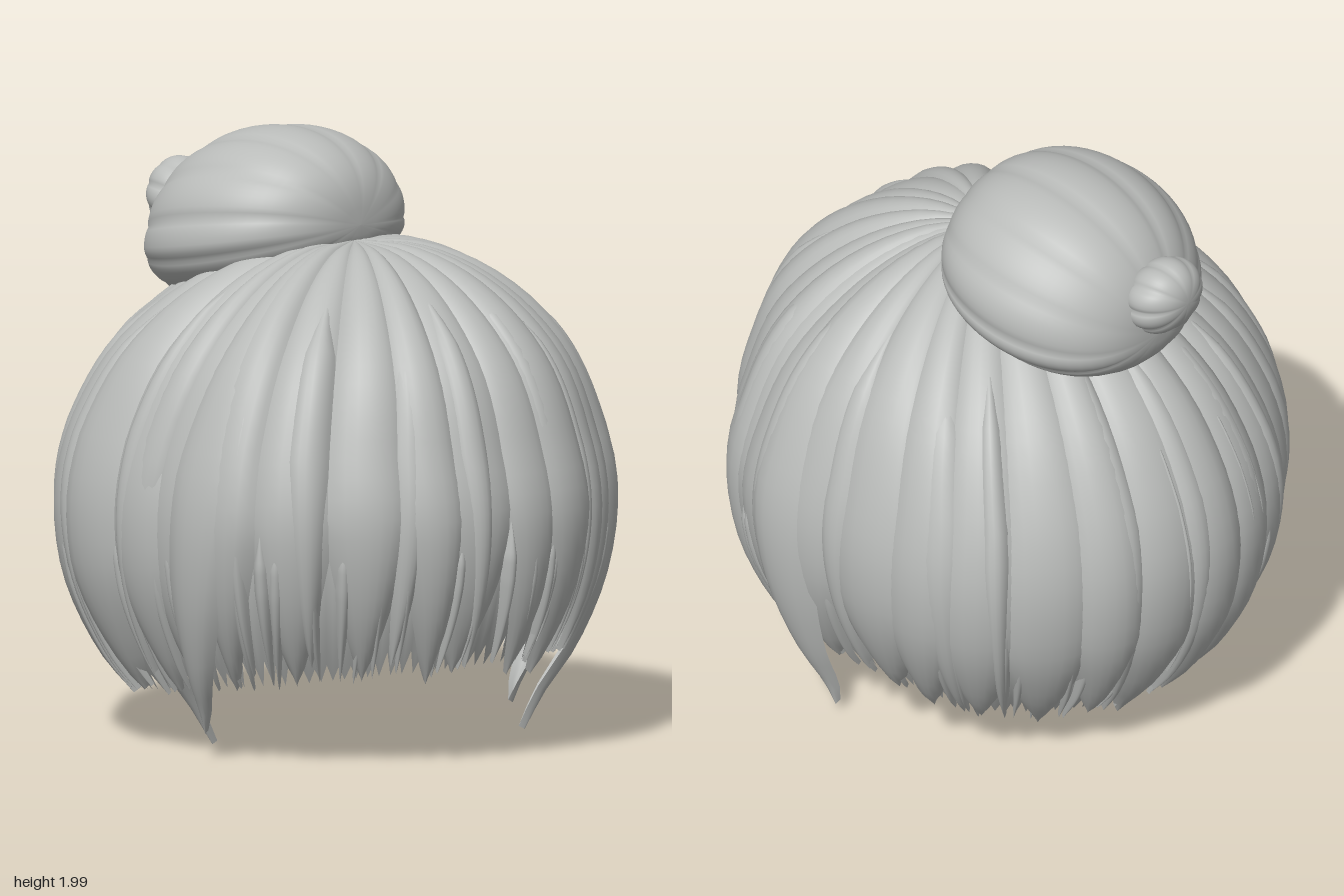
import * as THREE from 'three';

const hair = new THREE.MeshStandardMaterial({ color: 0xb9bbb9, side: THREE.DoubleSide });
hair.name = 'hair grey';
const DEG = Math.PI / 180;

let seed = 7;
const rand = () => (seed = (seed * 16807) % 2147483647) / 2147483647;
const lerp = THREE.MathUtils.lerp;

// Smooth sheet from fn(u, v) -> [x, y, z]; wrap joins the two u ends
function sheet(name, nu, nv, fn, wrap = false) {
  const pos = [], index = [];
  const cols = wrap ? nu : nu + 1;
  for (let i = 0; i < cols; i++)
    for (let j = 0; j <= nv; j++) pos.push(...fn(i / nu, j / nv, i));
  for (let i = 0; i < nu; i++)
    for (let j = 0; j < nv; j++) {
      const a = i * (nv + 1) + j, d = ((i + 1) % cols) * (nv + 1) + j;
      index.push(a, a + 1, d + 1, a, d + 1, d);
    }
  const g = new THREE.BufferGeometry();
  g.setAttribute('position', new THREE.Float32BufferAttribute(pos, 3));
  g.setIndex(index);
  g.computeVertexNormals();
  const m = new THREE.Mesh(g, hair);
  m.name = name;
  return m;
}

// Head profile from crown to tips: radius, height
const profile = new THREE.CatmullRomCurve3([
  [0, 1.655], [0.25, 1.635], [0.5, 1.53], [0.75, 1.31], [0.88, 1.06],
  [0.935, 0.82], [0.905, 0.55], [0.8, 0.3], [0.68, 0.13], [0.6, -0.02],
].map(([r, y]) => new THREE.Vector3(r, y, 0)));

// Fuller hair before and behind each ear
const swell = (az, mid, width) => Math.exp(-(((Math.acos(Math.cos(az)) / DEG - mid) / width) ** 2));

// Point on the head: angle from the front, way along the profile, lift off it, outward flare
function onHead(az, t, lift, flare = 0) {
  const p = profile.getPointAt(t), d = profile.getTangentAt(t);
  const full = 1 + (0.06 * swell(az, 64, 13) + 0.045 * swell(az, 119, 14)) * Math.min(1, t * 2);
  const r = Math.max(0, p.x - d.y * lift) * full + flare;
  return [Math.sin(az) * r * 0.9, p.y + d.x * lift, Math.cos(az) * r + lerp(0.09, 0, Math.min(1, t * 2))];
}

function tAtY(y) {
  let a = 0, b = 1;
  for (let k = 0; k < 24; k++) {
    const m = (a + b) / 2;
    if (profile.getPointAt(m).y > y) a = m; else b = m;
  }
  return a;
}

// Hem is higher at the front than at the back
const hemY = (az) => 0.12 + 0.19 * ((1 + Math.cos(az)) / 2) ** 1.2;

// Tapered, bulging lock lying on the head
function lock(name, { az, half, tipY, height = 0.035, sink = -0.028, bend = 0, taper = 0.3, flare = 0, from = 0 }) {
  const end = tAtY(tipY);
  return sheet(name, 8, 30, (u, v) => {
    const s = u * 2 - 1, t = lerp(from, end, v);
    const w = Math.pow(Math.min(1, (1 - v) / taper), 0.7) * (from ? Math.min(1, v * 4 + 0.05) : 1);
    const root = Math.min(1, t * 3.5);
    const lift = (sink + (height - sink) * (1 - Math.pow(Math.abs(s), 2.4)) * (0.4 + 0.6 * w)) * root;
    return onHead(az + bend * v * v + s * half * w, t, lift, flare * v ** 4);
  });
}

// Ribbed bun gathered at a front and a back pole; the underside slopes more than the top
function ribbedBun(name, { center, size, down, ribs, shear, slope, depth, power }) {
  const depths = Array.from({ length: ribs }, () => depth * (0.4 + rand()));
  return sheet(name, ribs * 8, 32, (u, v, i) => {
    const th = v * Math.PI, a = u * Math.PI * 2;
    const rib = Math.pow(Math.abs(Math.sin(u * ribs * Math.PI)), 0.6);
    const r = Math.pow(Math.sin(th), power) * (1 + depths[Math.floor(i / 8) % ribs] * (rib - 0.7));
    const z = Math.cos(th) * size[2];
    const h = Math.sin(a) * r;
    return [
      center[0] + Math.cos(a) * r * size[0],
      center[1] + h * (h > 0 ? size[1] : down) + z * (shear - slope * h),
      center[2] + z,
    ];
  }, true);
}

export function createModel() {
  const model = new THREE.Group();
  model.name = 'hairWithBun';

  // Under layer with a ragged hem and a narrow split in the fringe
  const n = 240, splitAt = 33.2;
  const ends = Array.from({ length: n }, (_, i) => {
    const az = (i / n) * 2 * Math.PI;
    const ragged = hemY(az) + (i % 2 ? 0 : 0.05 + 0.05 * rand());
    const slit = 0.8 - 0.1 * Math.abs(az / DEG - splitAt);
    return tAtY(Math.max(ragged, slit));
  });
  model.add(sheet('underLayer', n, 26, (u, v, i) => onHead(u * 2 * Math.PI, ends[i] * v, -0.04), true));

  // Main locks all round the head, slimmer beside the split
  const locks = new THREE.Group();
  locks.name = 'mainLocks';
  const count = 26;
  for (let i = 0; i < count; i++) {
    const az = ((i + 0.9) / count) * 2 * Math.PI;
    const split = i === 1 || i === 2;
    locks.add(lock('mainLock', {
      az: az + (split ? 0 : (rand() - 0.5) * 0.05),
      half: (split ? 8.5 : 8.5 + rand() * 3.5) * DEG,
      tipY: hemY(az) + (rand() - 0.5) * 0.07,
      height: 0.005 + rand() * 0.03,
      bend: split ? 0 : (rand() - 0.5) * 0.14,
      taper: split ? 0.5 : Math.cos(az) > 0.3 ? 0.3 : 0.22,
    }));
  }
  model.add(locks);

  // Narrower locks over the main ones
  const overlay = new THREE.Group();
  overlay.name = 'overLocks';
  for (let i = 0; i < 18; i++) {
    const az = ((i + rand() * 0.7) / 18) * 2 * Math.PI;
    if (Math.abs(az / DEG - splitAt) < 9) continue;
    overlay.add(lock('overLock', {
      az, half: (3.5 + rand() * 3) * DEG, tipY: hemY(az) + rand() * 0.08,
      height: 0.022 + rand() * 0.014, bend: (rand() - 0.5) * 0.2, taper: 0.5, from: 0.1 + rand() * 0.12,
    }));
  }
  model.add(overlay);

  // Long pointed locks at the sides: angle, half width, tip height, bend, flare
  for (const [az, half, tipY, bend, flare] of [
    [50, 8.5, 0.01, 5, 0.04],
    [72, 10, 0.05, 8, 0.15],
    [-74, 10, 0.09, -10, 0.12],
    [-90, 6, 0.01, -13, -0.1],
  ])
    model.add(lock('longSideLock', {
      az: az * DEG, half: half * DEG, tipY, bend: bend * DEG, flare, taper: 0.43, height: 0.03,
    }));

  // Fine hem wisps
  const wisps = new THREE.Group();
  wisps.name = 'hemWisps';
  for (let i = 0; i < 64; i++) {
    const az = ((i + rand()) / 64) * 2 * Math.PI;
    if (Math.abs(az / DEG - splitAt) < 7) continue;
    wisps.add(lock('wisp', {
      az, half: 1.8 * DEG, tipY: hemY(az) - 0.01 + rand() * 0.05, height: 0.008, bend: (rand() - 0.5) * 0.08,
      taper: 0.6, from: 0.6,
    }));
  }
  model.add(wisps);

  // Stray strands at the nape
  for (const deg of [168, 189, 193])
    model.add(lock('strayStrand', {
      az: deg * DEG, half: 1.2 * DEG, tipY: 0.3, height: 0.025, taper: 0.5, from: 0.3, bend: 0.06,
    }));

  // Large bun and the small knot behind it
  model.add(ribbedBun('bun', {
    center: [0.015, 1.64, -0.285], size: [0.425, 0.355, 0.39], down: 0.22,
    ribs: 13, shear: 0.16, slope: 0.06, depth: 0.03, power: 0.76,
  }));
  model.add(ribbedBun('smallKnot', {
    center: [0, 1.72, -0.675], size: [0.14, 0.13, 0.11], down: 0.13,
    ribs: 9, shear: -0.15, slope: 0, depth: 0.08, power: 0.85,
  }));

  return model;
}
